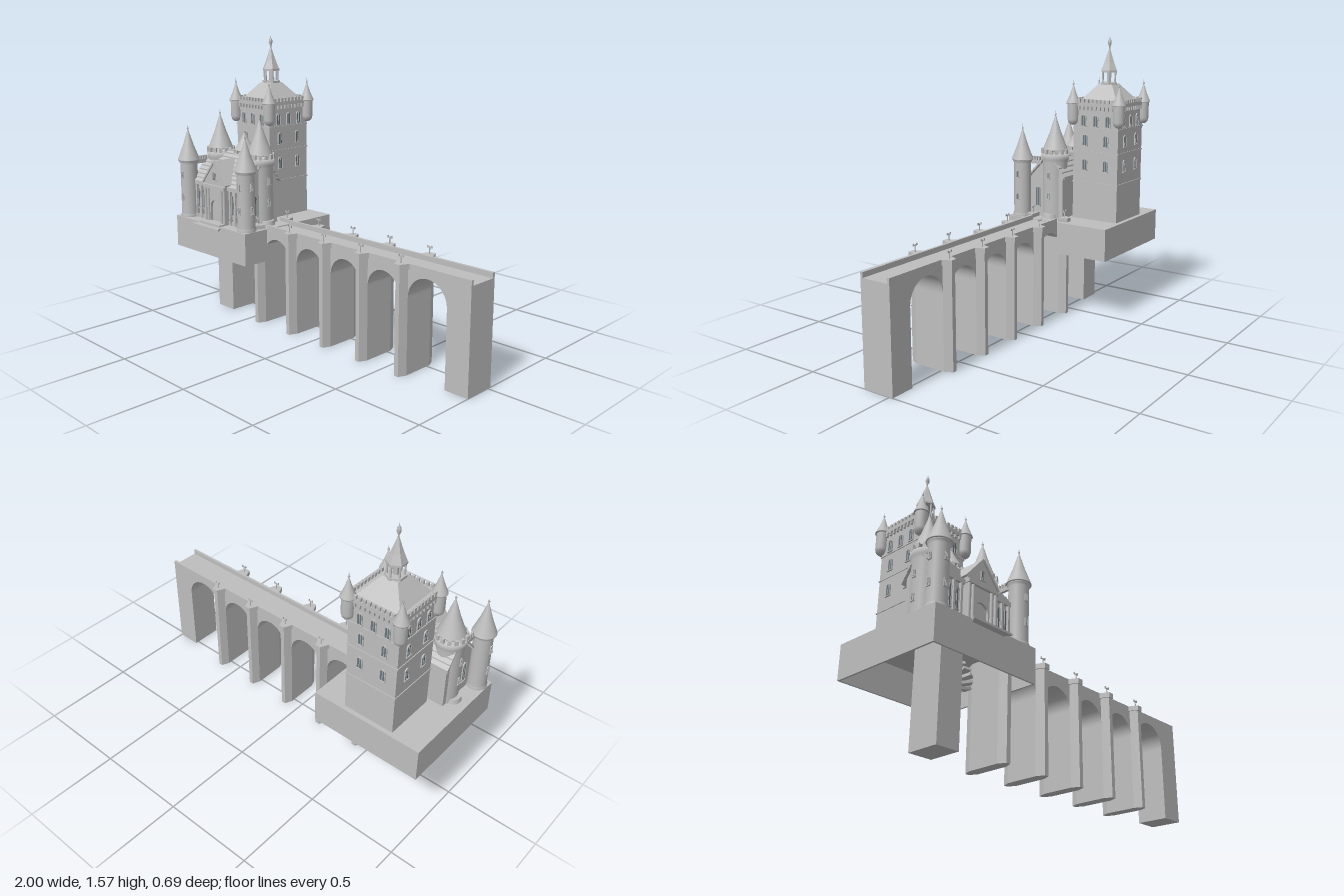
import * as THREE from 'three';

const stone = new THREE.MeshStandardMaterial({ color: 0xbebebe, side: THREE.DoubleSide });
stone.name = 'stone';
const glass = new THREE.MeshStandardMaterial({ color: 0x65757c });
glass.name = 'window glass';

export function createModel() {
  const root = new THREE.Group();
  const add = (name, geo, x = 0, y = 0, z = 0, mat = stone, parent = root) => {
    const m = new THREE.Mesh(geo, mat);
    m.name = name;
    m.position.set(x, y, z);
    parent.add(m);
    return m;
  };
  // box given by its limits
  const block = (name, x0, x1, y0, y1, z0, z1, parent = root) =>
    add(name, new THREE.BoxGeometry(x1 - x0, y1 - y0, z1 - z0), (x0 + x1) / 2, (y0 + y1) / 2, (z0 + z1) / 2, stone, parent);
  const lathe = (name, pts, x, z, seg = 24) =>
    add(name, new THREE.LatheGeometry(pts.map(p => new THREE.Vector2(...p)), seg), x, 0, z);
  const shapeOf = pts => new THREE.Shape(pts.map(p => new THREE.Vector2(...p)));
  const extrude = (s, depth) => new THREE.ExtrudeGeometry(s, { depth, bevelEnabled: false, curveSegments: 16 });
  // plan outline [x, z] raised from y0 to y1
  const plan = (name, pts, y0, y1) =>
    add(name, extrude(shapeOf(pts.map(([x, z]) => [x, -z])), y1 - y0).rotateX(-Math.PI / 2), 0, y0, 0);
  // side outline [z, y] pulled along x
  const profile = (name, pts, x0, x1) =>
    add(name, extrude(shapeOf(pts.map(([z, y]) => [-z, y])), x1 - x0).rotateY(Math.PI / 2), x0, 0, 0);
  const archShape = (w, h) => {
    const s = new THREE.Shape();
    s.moveTo(-w / 2, 0);
    s.lineTo(w / 2, 0);
    s.lineTo(w / 2, h - w / 2);
    s.absarc(0, h - w / 2, w / 2, 0, Math.PI, false);
    s.lineTo(-w / 2, 0);
    return s;
  };
  // arched pane in a stone surround, y is the sill
  const windowAt = (x, y, z, turn, w = 0.024, h = 0.06) => {
    const g = new THREE.Group();
    g.name = 'window';
    g.position.set(x, y, z);
    g.rotation.y = turn;
    root.add(g);
    add('windowPane', extrude(archShape(w, h), 0.003), 0, 0, 0, glass, g);
    const frame = archShape(w + 0.008, h + 0.005);
    frame.holes.push(archShape(w, h));
    add('windowFrame', extrude(frame, 0.006), 0, 0, 0, stone, g);
    block('mullion', -0.0015, 0.0015, 0, h, 0, 0.005, g);
    block('windowSill', -w / 2 - 0.006, w / 2 + 0.006, -0.005, 0, 0, 0.008, g);
  };
  const merlonRing = (x, z, r, y, h, n) => {
    for (let i = 0; i < n; i++) {
      const a = i / n * Math.PI * 2;
      const m = add('merlon', new THREE.BoxGeometry(r * 3.3 / n, h, 0.012), x + Math.sin(a) * r, y + h / 2, z + Math.cos(a) * r);
      m.rotation.y = a;
    }
  };
  const coneRoof = (name, x, z, r, y0, y1, seg = 24) => {
    lathe(name, [[0, y0], [r, y0], [r, y0 + 0.004], [r * 0.48, y0 + (y1 - y0) * 0.5], [0.002, y1]], x, z, seg);
    lathe('finial', [[0.003, y1 - 0.01], [0.003, y1], [0.006, y1 + 0.006], [0.002, y1 + 0.012], [0, y1 + 0.03]], x, z, 8);
  };
  const CX = -0.68;

  // platform: open-bottomed shell on one leg
  block('platformTop', -0.99, -0.37, 0.53, 0.54, -0.33, 0.31);
  block('platformFront', -0.99, -0.37, 0.36, 0.53, 0.3, 0.31);
  block('platformBack', -0.99, -0.37, 0.36, 0.53, -0.33, -0.32);
  for (const x of [-0.99, -0.38]) block('platformSide', x, x + 0.01, 0.36, 0.53, -0.32, 0.3);
  block('platformLeg', -0.81, -0.68, 0, 0.53, -0.02, 0.155);
  for (let i = 0; i < 9; i++) {
    const a = i * 0.55;
    const s = add('spiralStep', new THREE.BoxGeometry(0.065, 0.014, 0.04), -0.62 + Math.cos(a) * 0.03, 0.335 + i * 0.022, 0.07 + Math.sin(a) * 0.03);
    s.rotation.set(0, -a, 0.25);
  }
  block('stairNewel', -0.63, -0.615, 0.34, 0.53, 0.063, 0.078);
  plan('entranceStep', [[-0.8, 0.345], [-0.56, 0.345], [-0.59, 0.3], [-0.77, 0.3]], 0.525, 0.535);
  block('entranceStepTop', -0.77, -0.59, 0.535, 0.548, 0.25, 0.31);

  // viaduct wall with arched openings
  const piers = [-0.42, -0.163, 0.093, 0.35, 0.607];
  const v = new THREE.Shape();
  v.moveTo(-0.45, 0.535);
  v.lineTo(-0.45, 0);
  piers.forEach((p, i) => {
    const a = p + 0.03, b = i < 4 ? piers[i + 1] - 0.03 : 0.868, r = (b - a) / 2;
    v.lineTo(a, 0);
    v.lineTo(a, 0.395);
    v.absarc(a + r, 0.395, r, Math.PI, 0, true);
    v.lineTo(b, 0);
  });
  v.lineTo(1, 0);
  v.lineTo(1, 0.535);
  add('viaduct', extrude(v, 0.175), 0, 0, -0.02);
  for (const s of [-1, 1]) {
    const zc = 0.0675, face = zc + s * 0.0875;
    const zs = [face, face - s * 0.014].sort((a, b) => a - b);
    block('parapet', -0.37, 1, 0.535, 0.562, zs[0], zs[1]);
    for (const p of piers) {
      const trap = (w, t, d) => {
        const q = [[p - w, face], [p - t, face + s * d], [p + t, face + s * d], [p + w, face]];
        return s > 0 ? q : q.reverse();
      };
      plan('buttress', trap(0.03, 0.012, 0.042), 0, 0.535);
      plan('buttressCap', trap(0.037, 0.016, 0.048), 0.535, 0.562);
      const z = face + s * 0.02;
      block('lampPost', p - 0.002, p + 0.002, 0.56, 0.6, z - 0.002, z + 0.002);
      block('lampArm', p - 0.014, p + 0.014, 0.593, 0.597, z - 0.002, z + 0.002);
      for (const d of [-0.012, 0.012]) block('lamp', p + d - 0.003, p + d + 0.003, 0.592, 0.604, z - 0.003, z + 0.003);
    }
  }

  // keep
  const KZ = -0.163, H = 0.142;
  block('keepWalls', CX - H, CX + H, 0.54, 1.19, KZ - H, KZ + H);
  for (const y of [0.75, 0.925, 1.06]) block('stringCourse', CX - H - 0.004, CX + H + 0.004, y, y + 0.007, KZ - H - 0.004, KZ + H + 0.004);
  block('keepGallery', CX - H - 0.01, CX + H + 0.01, 1.185, 1.205, KZ - H - 0.01, KZ + H + 0.01);
  for (let k = 0; k < 4; k++) {
    const t = k * Math.PI / 2, sn = Math.sin(t), cs = Math.cos(t);
    const at = (u, d) => [CX + u * cs + d * sn, KZ - u * sn + d * cs];
    for (let i = -4; i <= 4; i++) {
      const [mx, mz] = at(i * 0.026, H + 0.004);
      add('keepMerlon', new THREE.BoxGeometry(0.015, 0.022, 0.012), mx, 1.214, mz).rotation.y = t;
      add('corbel', new THREE.BoxGeometry(0.01, 0.022, 0.014), mx, 1.175, mz).rotation.y = t;
    }
    for (const [y, us] of [[1.075, [-0.077, 0, 0.077]], [0.965, [-0.066, 0.066]], [0.825, [-0.066, 0.066]]])
      for (const u of us) {
        const [wx, wz] = at(u, H);
        windowAt(wx, y, wz, t);
      }
    // corner turret
    const [tx, tz] = at(H + 0.003, H + 0.003);
    lathe('cornerTurret', [[0, 1.075], [0.016, 1.079], [0.027, 1.09], [0.032, 1.108], [0.032, 1.2]], tx, tz, 16);
    coneRoof('turretRoof', tx, tz, 0.039, 1.198, 1.3, 16);
  }
  // tiled keep roof in shallow courses
  for (let i = 0; i < 6; i++) {
    const h0 = 0.12 - i * 0.0125, h1 = h0 - 0.015;
    add('keepRoofCourse', new THREE.CylinderGeometry(h1 * Math.SQRT2, h0 * Math.SQRT2, 0.018, 4).rotateY(Math.PI / 4).toNonIndexed(),
      CX, 1.217 + i * 0.0155, KZ).geometry.computeVertexNormals();
  }
  // lantern
  const hex = (name, r0, r1, y0, y1) => {
    const g = new THREE.CylinderGeometry(r1, r0, y1 - y0, 6).toNonIndexed();
    g.computeVertexNormals();
    add(name, g, CX, (y0 + y1) / 2, KZ);
  };
  hex('lanternFloor', 0.052, 0.052, 1.3, 1.312);
  hex('lanternCore', 0.014, 0.014, 1.31, 1.375);
  for (let i = 0; i < 6; i++) {
    const a = i * Math.PI / 3;
    add('lanternPost', new THREE.CylinderGeometry(0.005, 0.005, 0.064, 8), CX + Math.sin(a) * 0.04, 1.342, KZ + Math.cos(a) * 0.04);
  }
  hex('lanternEaves', 0.05, 0.05, 1.37, 1.38);
  hex('lanternRoofFlare', 0.049, 0.03, 1.38, 1.425);
  hex('lanternSpire', 0.03, 0.004, 1.425, 1.5);
  lathe('spireFinial', [[0.004, 1.495], [0.004, 1.51], [0.011, 1.53], [0.009, 1.545], [0.003, 1.555], [0, 1.572]], CX, KZ, 10);

  // hall with gabled ends and tiled roof
  profile('hallWalls', [[0, 0.54], [0.235, 0.54], [0.235, 0.75], [0.085, 0.91], [0, 0.8]], -0.9, -0.46);
  const slope = (z0, y0, z1, y1, n) => {
    for (let i = 0; i < n; i++) {
      const a = i / n, b = (i + 1) / n;
      const z = z0 + (z1 - z0) * a, y = y0 + (y1 - y0) * a, zz = z0 + (z1 - z0) * b, yy = y0 + (y1 - y0) * b;
      const q = [[z, y - 0.004], [z, y + 0.012], [zz, yy + 0.005], [zz, yy - 0.008]];
      profile('roofTileCourse', q, -0.915, -0.445);
    }
  };
  slope(0.25, 0.745, 0.085, 0.922, 9);
  slope(-0.02, 0.775, 0.085, 0.922, 6);
  block('hallRidge', -0.915, -0.445, 0.918, 0.933, 0.078, 0.092);
  block('hallCornice', -0.89, -0.47, 0.735, 0.75, 0.23, 0.25);
  block('hallPlinth', -0.89, -0.47, 0.54, 0.56, 0.23, 0.245);
  for (const s of [-1, 1]) {
    for (const d of [0.13, 0.175]) windowAt(CX + s * d, 0.6, 0.235, 0, 0.024, 0.11);
    for (const d of [0.108, 0.152, 0.195]) block('pilaster', CX + s * d - 0.006, CX + s * d + 0.006, 0.54, 0.738, 0.23, 0.25);
    windowAt(CX + s * 0.22, 0.6, 0.165, s * Math.PI / 2, 0.024, 0.11);
    add('sideDoorStep', new THREE.CylinderGeometry(0.04, 0.045, 0.025, 20), CX + s * 0.225, 0.5525, 0.08);
  }

  // entrance porch: arched doorway under a steep pediment
  const porch = shapeOf([[-0.09, 0], [0.09, 0], [0.09, 0.235], [0, 0.345], [-0.09, 0.235]]);
  porch.holes.push(archShape(0.085, 0.13));
  add('porch', extrude(porch, 0.13), CX, 0.54, 0.135);
  add('door', extrude(archShape(0.085, 0.13), 0.006), CX, 0.54, 0.245);
  for (const s of [-1, 1]) {
    const r = add('porchRoof', new THREE.BoxGeometry(0.162, 0.01, 0.145), CX + s * 0.052, 0.828, 0.2);
    r.rotation.z = -s * Math.atan2(0.11, 0.09);
    for (const d of [0.058, 0.083]) add('porchColumn', new THREE.CylinderGeometry(0.008, 0.009, 0.2, 10), CX + s * d, 0.64, 0.268);
  }
  block('porchEntablature', CX - 0.095, CX + 0.095, 0.738, 0.757, 0.255, 0.28);
  windowAt(CX, 0.785, 0.265, 0, 0.02, 0.045);

  // round towers, mirrored about the keep
  for (const s of [-1, 1]) {
    const fx = CX + s * 0.255, fz = 0.252;
    lathe('frontTower', [[0.053, 0.54], [0.053, 0.555], [0.049, 0.56], [0.049, 0.85], [0.056, 0.86], [0.056, 0.87]], fx, fz);
    coneRoof('frontTowerRoof', fx, fz, 0.062, 0.868, 1.045);
    for (const y of [0.64, 0.77]) for (const t of [0, s * Math.PI / 2])
      windowAt(fx + Math.sin(t) * 0.047, y, fz + Math.cos(t) * 0.047, t, 0.01, 0.035);

    const bx = CX + s * 0.175, bz = 0.08;
    lathe('rearTower', [[0.07, 0.54], [0.07, 0.86], [0.08, 0.878], [0.08, 0.91], [0, 0.91]], bx, bz);
    merlonRing(bx, bz, 0.075, 0.91, 0.026, 14);
    coneRoof('rearTowerRoof', bx, bz, 0.07, 0.93, 1.125);
    for (const y of [0.65, 0.77]) windowAt(bx + s * 0.068, y, bz, s * Math.PI / 2, 0.01, 0.035);
    // crenellated wall from the front tower back to the rear tower
    for (let i = 0; i < 4; i++) block('wallMerlon', CX + s * 0.225 - 0.006, CX + s * 0.225 + 0.006, 0.865, 0.888, 0.15 + i * 0.018, 0.16 + i * 0.018);
    block('sideParapet', CX + s * 0.225 - 0.007, CX + s * 0.225 + 0.007, 0.845, 0.867, 0.14, 0.22);
  }
  // middle turret rising from the roof
  lathe('middleTurret', [[0.052, 0.8], [0.052, 0.88], [0.06, 0.893], [0.06, 0.915], [0, 0.915]], CX, 0.045);
  merlonRing(CX, 0.045, 0.056, 0.915, 0.02, 12);
  coneRoof('middleTurretRoof', CX, 0.045, 0.06, 0.93, 1.03);
  return root;
}
